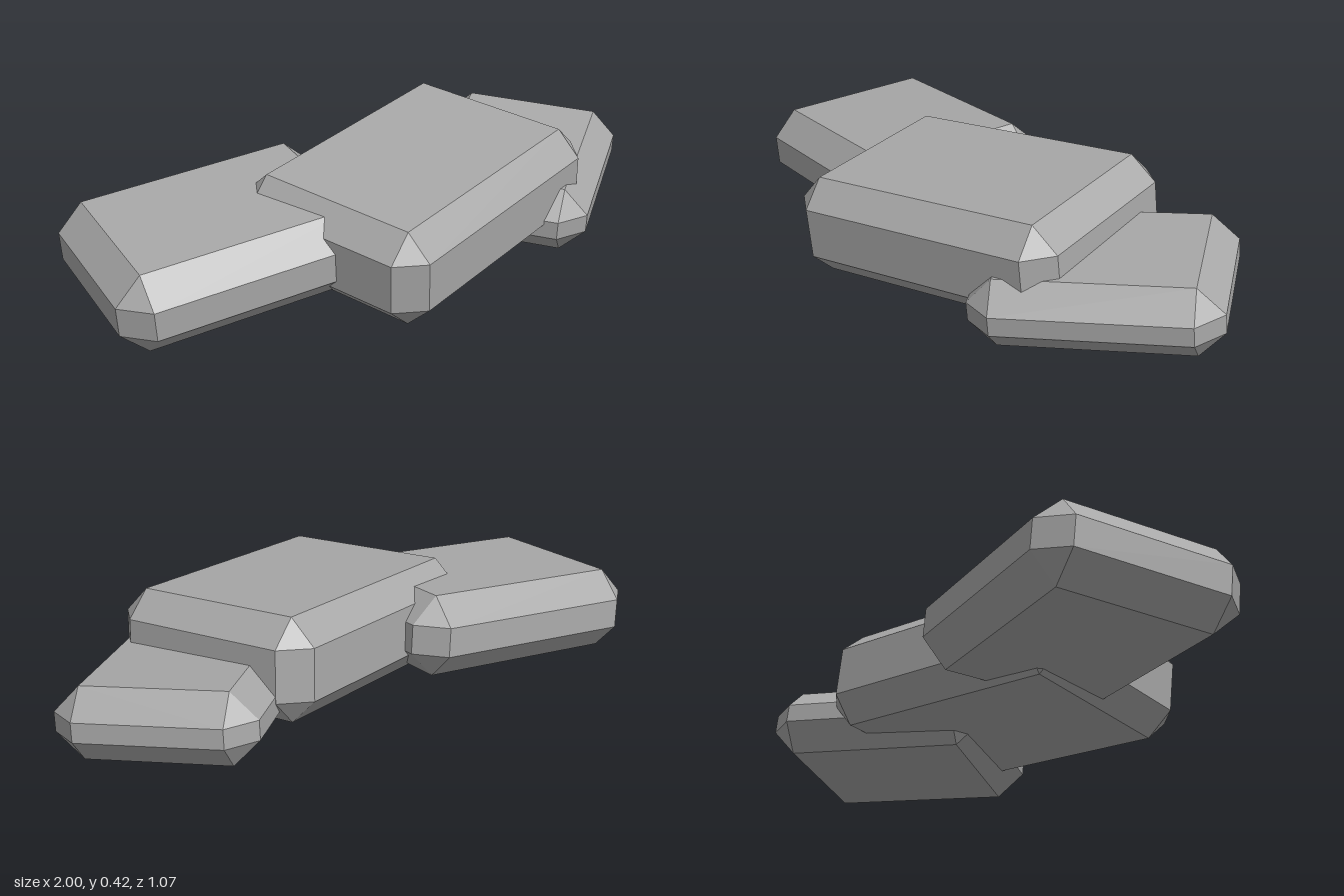
import * as THREE from 'three';
import { ConvexGeometry } from 'three/addons/geometries/ConvexGeometry.js';

// Box with every edge cut at 45 degrees and a triangle at each corner
function chamferedBox(length, height, depth, cut) {
  const points = [];
  const [x, y, z] = [length / 2, height / 2, depth / 2];
  for (const sx of [-1, 1]) for (const sy of [-1, 1]) for (const sz of [-1, 1]) {
    points.push(
      new THREE.Vector3(sx * x, sy * (y - cut), sz * (z - cut)),
      new THREE.Vector3(sx * (x - cut), sy * y, sz * (z - cut)),
      new THREE.Vector3(sx * (x - cut), sy * (y - cut), sz * z)
    );
  }
  return new ConvexGeometry(points);
}

export function createModel() {
  const group = new THREE.Group();
  group.name = 'rockSlabs';
  const stone = new THREE.MeshStandardMaterial({ color: 0xa8a8a8, flatShading: true });
  stone.name = 'stone grey';

  // Three overlapping slabs sharing one tilt, each turned further round
  const slabs = [
    { name: 'rightSlab', size: [0.87, 0.265, 0.665], cut: 0.085, at: [-0.565, 0.177, -0.045], turn: 0 },
    { name: 'middleSlab', size: [0.975, 0.325, 0.716], cut: 0.081, at: [0.089, 0.221, 0.043], turn: Math.PI / 8 },
    { name: 'leftSlab', size: [0.757, 0.225, 0.61], cut: 0.082, at: [0.571, 0.157, -0.107], turn: Math.PI / 4 },
  ];
  for (const { name, size, cut, at, turn } of slabs) {
    const slab = new THREE.Mesh(chamferedBox(...size, cut), stone);
    slab.name = name;
    slab.position.set(...at);
    slab.rotation.set(0.057, turn, 0.075, 'YXZ');
    group.add(slab);
  }
  return group;
}
